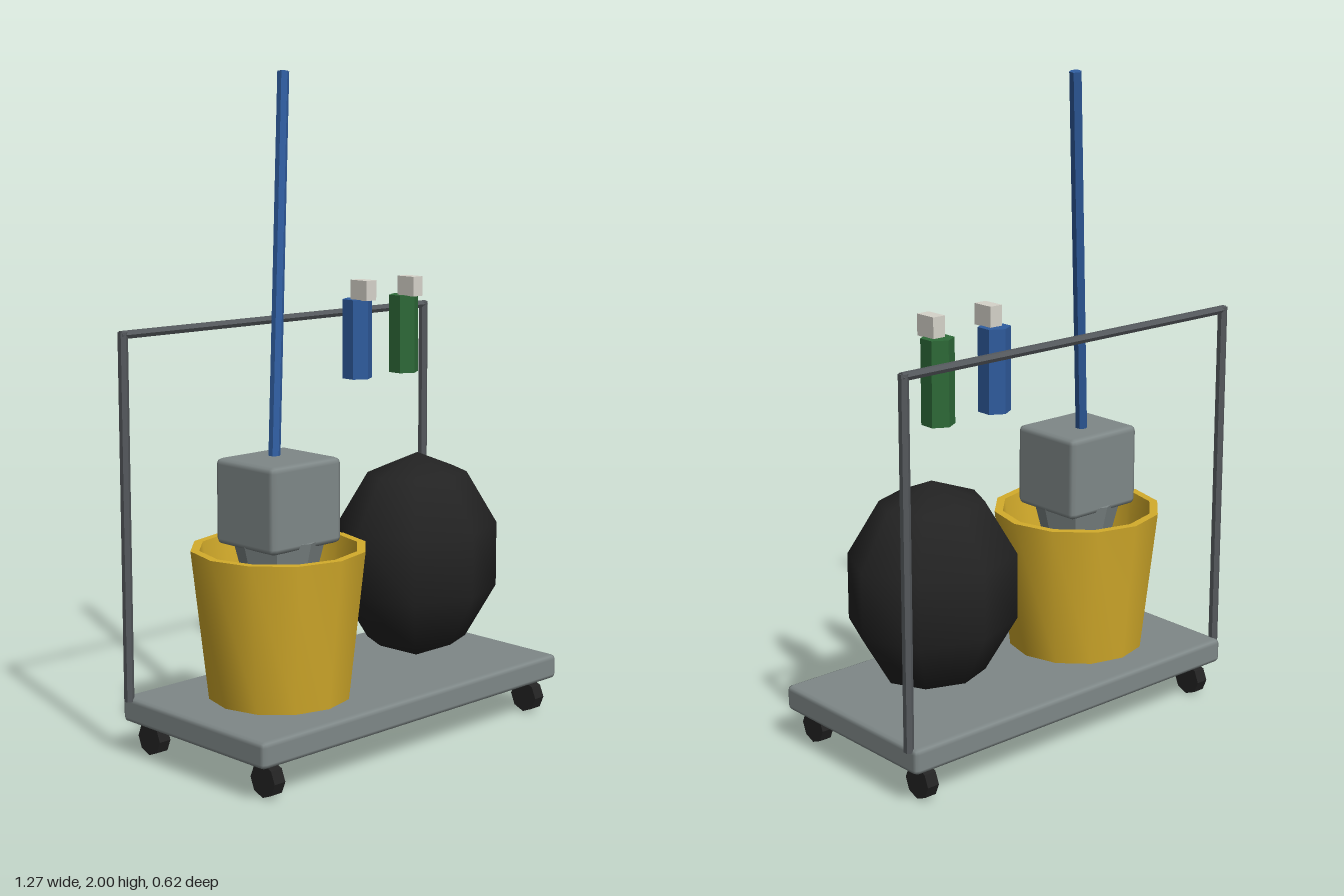
import * as THREE from 'three';
import { toCreasedNormals } from 'three/addons/utils/BufferGeometryUtils.js';
import { RoundedBoxGeometry } from 'three/addons/geometries/RoundedBoxGeometry.js';

function material(name, color) {
  const m = new THREE.MeshStandardMaterial({ color });
  m.name = name;
  return m;
}

export function createModel() {
  const grey = material('grey plastic', 0x7f8888);
  const steel = material('dark steel', 0x55595d);
  const yellow = material('yellow plastic', 0xd4ac2b);
  const black = material('black', 0x232323);
  const blue = material('blue', 0x2f5c9e);
  const green = material('green', 0x2e6a38);
  const white = material('off white', 0xd6d3ca);

  const model = new THREE.Group();
  model.name = 'cleaningCart';

  function add(name, geometry, mat, x = 0, y = 0, z = 0) {
    const mesh = new THREE.Mesh(geometry, mat);
    mesh.name = name;
    mesh.position.set(x, y, z);
    model.add(mesh);
    return mesh;
  }
  const creased = (g) => toCreasedNormals(g, 0.75);

  // Straight round bar between two points
  function rod(name, from, to, radius, sides, mat) {
    const a = new THREE.Vector3(...from), b = new THREE.Vector3(...to);
    const dir = b.clone().sub(a);
    const geometry = creased(new THREE.CylinderGeometry(radius, radius, dir.length(), sides));
    const mesh = add(name, geometry, mat);
    mesh.position.copy(a).add(b).multiplyScalar(0.5);
    mesh.quaternion.setFromUnitVectors(new THREE.Vector3(0, 1, 0), dir.normalize());
  }

  // Deck and its four wheels
  add('deck', new RoundedBoxGeometry(1.25, 0.078, 0.62, 1, 0.015), grey, 0, 0.142, 0);
  for (const x of [-0.555, 0.555]) {
    for (const z of [-0.25, 0.25]) {
      const wheel = new THREE.CylinderGeometry(0.05, 0.05, 0.04, 8).rotateZ(Math.PI / 2);
      add('wheel', creased(wheel), black, x, 0.05, z);
    }
  }

  // Push frame along the back edge
  for (const x of [-0.624, 0.624]) {
    rod('framePost', [x, 0.17, -0.278], [x, 1.26, -0.278], 0.015, 6, steel);
  }
  rod('frameTopBar', [-0.632, 1.252, -0.278], [0.632, 1.252, -0.278], 0.013, 6, steel);

  // Open tapered bucket
  const bucketProfile = [
    [0, 0.18], [0.212, 0.18], [0.262, 0.626], [0.236, 0.626], [0.19, 0.205], [0, 0.205],
  ].map(([r, y]) => new THREE.Vector2(r, y));
  add('bucket', creased(new THREE.LatheGeometry(bucketProfile, 12)), yellow, -0.28, 0, 0);

  // Wringer block with a funnel below it
  add('wringerBlock', new RoundedBoxGeometry(0.275, 0.255, 0.25, 1, 0.018), grey, -0.28, 0.763, 0);
  add('wringerFunnel', creased(new THREE.CylinderGeometry(0.137, 0.06, 0.3, 8)), grey, -0.28, 0.505, 0);

  // Leaning mop handle
  rod('mopHandle', [-0.296, 0.7, -0.008], [-0.109, 1.997, -0.157], 0.018, 6, blue);

  // Rubbish bag
  const bag = add('rubbishBag', new THREE.SphereGeometry(1, 8, 5), black, 0.305, 0.506, 0);
  bag.scale.set(0.277, 0.326, 0.249);

  // Two spray bottles
  for (const [name, x, mat] of [['blueBottle', 0.205, blue], ['greenBottle', 0.413, green]]) {
    add(name, creased(new THREE.CylinderGeometry(0.048, 0.048, 0.247, 6)), mat, x, 1.182, -0.165);
    add(name + 'Sprayer', new THREE.BoxGeometry(0.042, 0.062, 0.07), white, x, 1.335, -0.138);
  }

  return model;
}
